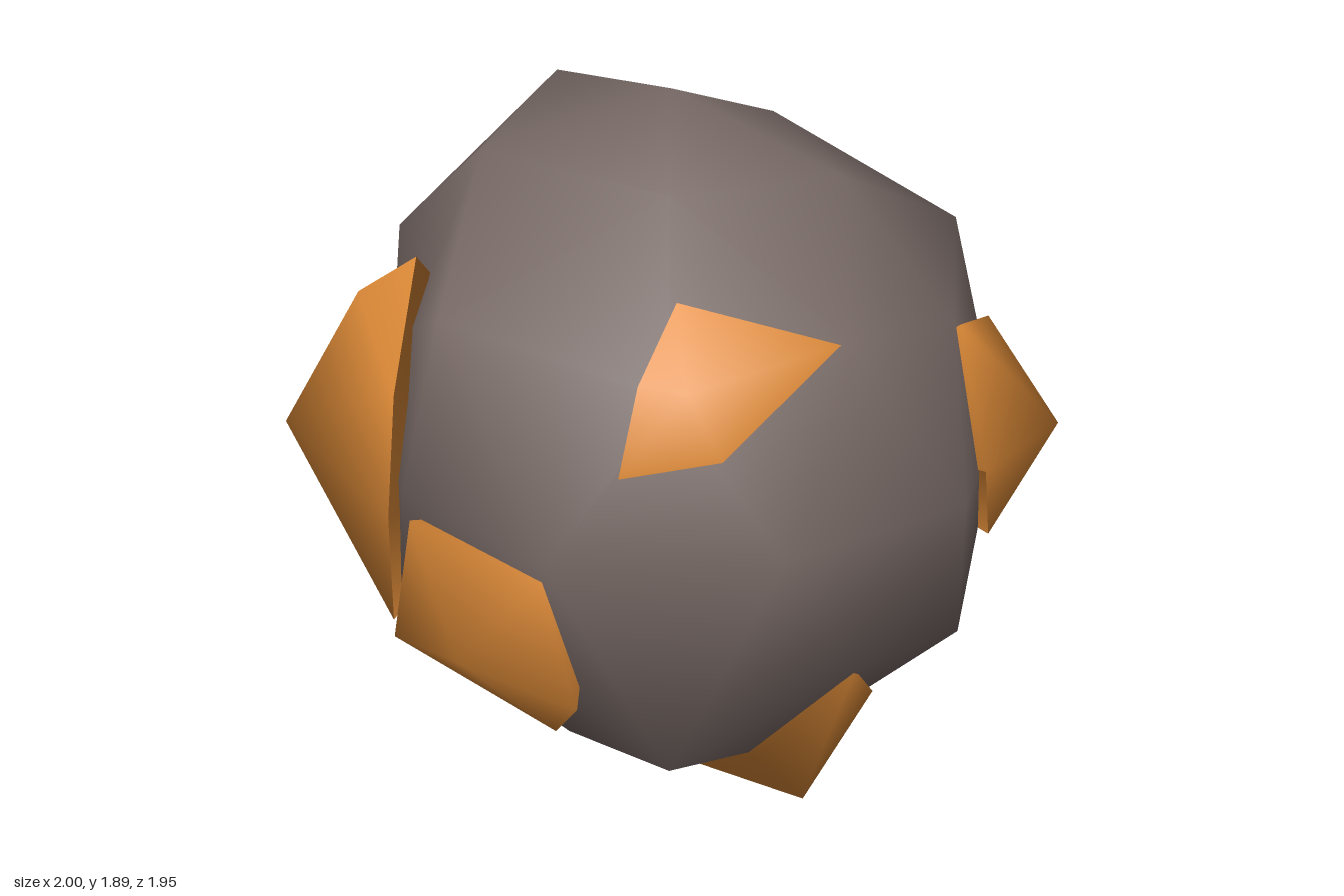
import * as THREE from 'three';
import { mergeVertices } from 'three/addons/utils/BufferGeometryUtils.js';
import { ConvexGeometry } from 'three/addons/geometries/ConvexGeometry.js';

const V = (x, y, z) => new THREE.Vector3(x, y, z);
const CENTRE = V(0, 0.95, 0);

// Rings of a 42-point ball: latitude, first azimuth, then one radius per point
const RINGS = [
  [90, 0, [0.94]],
  [58.28, 0, [0.88, 0.955, 0.97, 1.02, 0.9]],
  [31.72, 36, [0.9, 1.11, 0.92, 1.08, 0.96]],
  [26.57, 0, [0.865, 0.8, 0.8, 0.92, 0.78]],
  [0, 18, [0.93, 0.92, 0.97, 0.85, 0.77, 0.925, 0.98, 0.98, 0.99, 0.89]],
  [-26.57, 36, [0.91, 0.82, 0.8, 0.86, 0.97]],
  [-31.72, 0, [0.96, 1.07, 0.9, 0.9, 1.085]],
  [-58.28, 36, [0.92, 0.88, 0.83, 0.82, 0.95]],
  [-90, 0, [0.95]],
];

// Lumpy boulder: hull of the unit ball, then each point moved to its radius
function rockGeometry() {
  const dirs = [], radii = [];
  for (const [lat, start, list] of RINGS) {
    list.forEach((r, i) => {
      const a = THREE.MathUtils.degToRad(start + (i * 360) / list.length);
      const b = THREE.MathUtils.degToRad(lat);
      dirs.push(V(Math.cos(b) * Math.cos(a), Math.sin(b), Math.cos(b) * Math.sin(a)));
      radii.push(r);
    });
  }
  let g = new ConvexGeometry(dirs);
  g.deleteAttribute('normal');
  g = mergeVertices(g, 1e-4);
  const pos = g.attributes.position, p = V(0, 0, 0);
  for (let i = 0; i < pos.count; i++) {
    p.fromBufferAttribute(pos, i);
    const k = dirs.findIndex((d) => d.distanceTo(p) < 0.01);
    p.multiplyScalar(radii[k]).add(CENTRE);
    pos.setXYZ(i, p.x, p.y, p.z);
  }
  g.computeVertexNormals();
  return g;
}

// Ore lump: peak and rim joined to a buried root, with rounded normals
function oreGeometry(points) {
  const pts = points.map((p) => V(...p));
  const root = V(0, 0, 0);
  pts.forEach((p) => root.addScaledVector(p, 1 / pts.length));
  root.lerp(CENTRE, 0.6);
  const g = new ConvexGeometry([...pts, root]);
  const pos = g.attributes.position, n = V(0, 0, 0);
  for (let i = 0; i < pos.count; i++) {
    n.fromBufferAttribute(pos, i).sub(root).normalize();
    if (n.lengthSq() < 0.5) n.copy(root).sub(CENTRE).normalize();
    g.attributes.normal.setXYZ(i, n.x, n.y, n.z);
  }
  return g;
}

// Peak first, then the rim of each lump
const ORES = {
  oreRightSide: [[-1, 0.95, 0.32], [-0.56, 1.5, 0.4], [-0.7, 1.41, 0.46], [-0.54, 1.2, 0.62],
    [-0.57, 0.85, 0.62], [-0.63, 0.48, 0.48], [-0.74, 0.6, 0.1], [-0.86, 0.95, -0.08],
    [-0.81, 1.25, 0]],
  oreFrontLower: [[-0.3, 0.58, 0.83], [-0.46, 0.91, 0.73], [-0.02, 0.9, 0.95], [0.04, 0.52, 0.87],
    [-0.14, 0.26, 0.55], [-0.63, 0.43, 0.48]],
  oreFrontUpper: [[0.28, 1.34, 0.71], [0.21, 1.53, 0.59], [0.6, 1.43, 0.49], [0.37, 1.18, 0.72],
    [0.14, 1.15, 0.83], [0.16, 1.36, 0.74]],
  oreLeftSide: [[1, 0.95, -0.33], [0.79, 1.33, 0], [0.78, 1.21, -0.4], [0.7, 0.95, -0.61],
    [0.79, 0.74, -0.4], [0.86, 0.68, -0.14], [0.89, 0.96, 0.08]],
  oreBottomFront: [[0.48, 0.04, 0.32], [0.65, 0.53, 0.46], [0.38, 0.21, 0.44], [0, 0.19, 0.41],
    [0.22, 0.08, 0.09], [0.4, 0.14, 0.01], [0.62, 0.3, 0.14]],
  oreBottomBack: [[-0.15, 0.07, -0.53], [-0.16, 0.75, -0.89], [-0.36, 0.71, -0.79],
    [-0.44, 0.33, -0.51], [-0.43, 0.2, -0.03], [-0.04, 0.1, -0.21], [0.13, 0.19, -0.35],
    [0, 0.29, -0.63], [-0.07, 0.44, -0.79]],
  oreUnderside: [[-0.43, 0.21, 0.06], [-0.56, 0.37, 0.28], [-0.3, 0.22, 0.33], [-0.34, 0.17, 0]],
  oreBackUpper: [[0.27, 1.33, -0.74], [-0.02, 1.38, -0.76], [0.09, 1.07, -0.86], [0.5, 1.03, -0.77],
    [0.52, 1.4, -0.55], [0.17, 1.64, -0.48]],
};

export function createModel() {
  const rockGrey = new THREE.MeshStandardMaterial({ color: 0x776965 });
  rockGrey.name = 'rockGrey';
  const oreOrange = new THREE.MeshStandardMaterial({ color: 0xe08c38 });
  oreOrange.name = 'oreOrange';

  const group = new THREE.Group();
  group.name = 'oreBoulder';
  const add = (name, geometry, material) => {
    const mesh = new THREE.Mesh(geometry, material);
    mesh.name = name;
    group.add(mesh);
  };
  add('rock', rockGeometry(), rockGrey);
  for (const [name, points] of Object.entries(ORES)) add(name, oreGeometry(points), oreOrange);
  return group;
}
